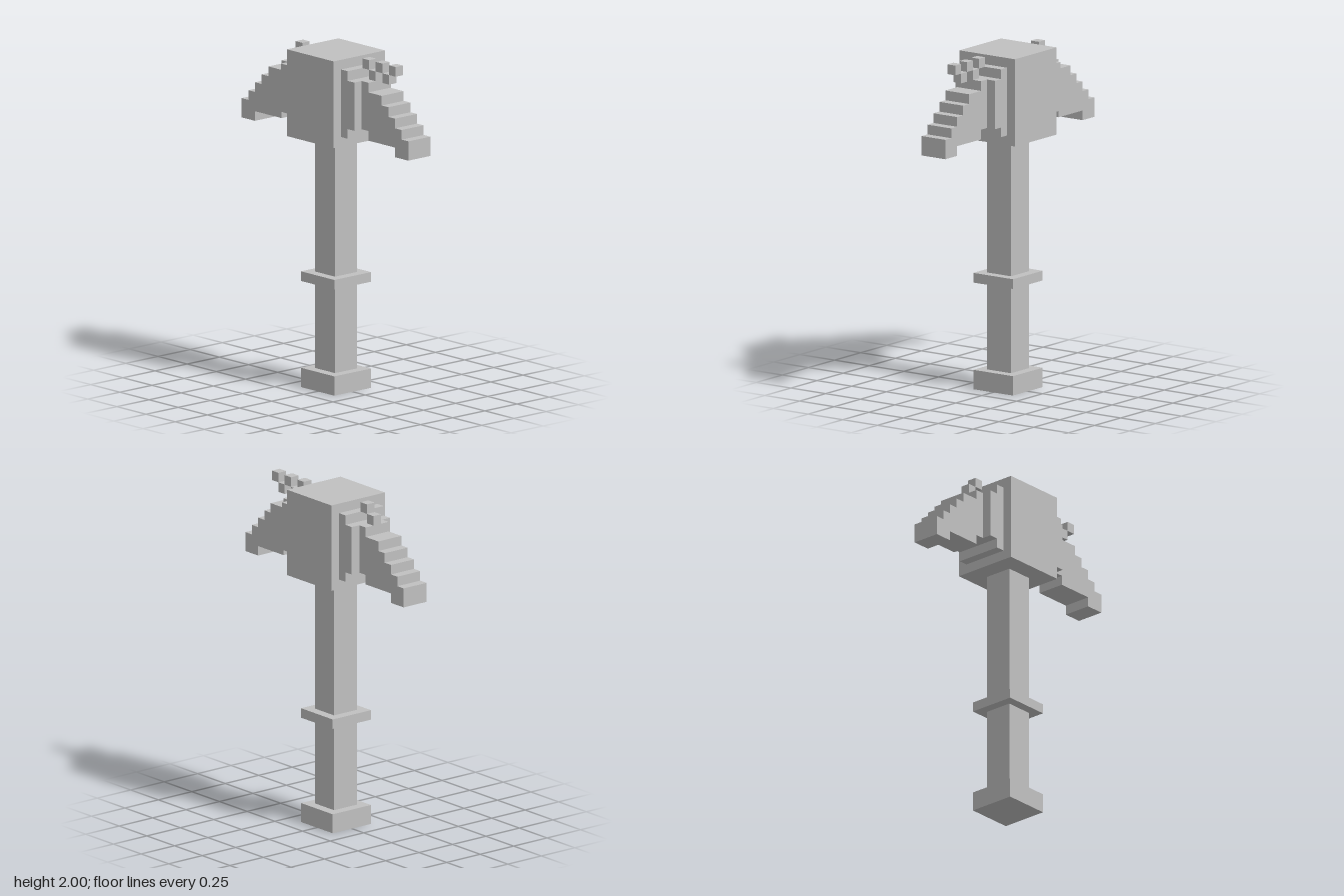
import * as THREE from 'three';

const U = 2 / 35; // one block of the grid

export function createModel() {
  const model = new THREE.Group();
  model.name = 'pickaxe';
  const grey = new THREE.MeshStandardMaterial({ color: 0xc0c0c0 });
  grey.name = 'plain grey';

  // Box centred on z = 0, given in blocks
  function block(name, parent, x0, x1, y0, y1, depth) {
    const mesh = new THREE.Mesh(
      new THREE.BoxGeometry((x1 - x0) * U, (y1 - y0) * U, depth * U), grey);
    mesh.position.set((x0 + x1) / 2 * U, (y0 + y1) / 2 * U, 0);
    mesh.name = name;
    parent.add(mesh);
  }

  // Shaft and head
  block('pommel', model, -2.5, 2.5, 0, 2, 5);
  block('lowerHandle', model, -1.5, 1.5, 2, 11, 3);
  block('handleRing', model, -2.5, 2.5, 11, 12, 5);
  block('upperHandle', model, -1.5, 1.5, 12, 26, 3);
  block('head', model, -3.5, 3.5, 26, 35, 7);

  // Stepped outline of one pick blade
  const outline = [
    [5.5, 28], [6.5, 28], [6.5, 27], [10.5, 27], [10.5, 26], [12.5, 26],
    [12.5, 28], [11.5, 28], [11.5, 29], [10.5, 29], [10.5, 30], [9.5, 30],
    [9.5, 31], [8.5, 31], [8.5, 32], [6.5, 32], [6.5, 33], [5.5, 33],
  ].map(([x, y]) => new THREE.Vector2(x * U, y * U));
  const bladeGeometry = new THREE.ExtrudeGeometry(new THREE.Shape(outline),
    { depth: 3 * U, bevelEnabled: false }).translate(0, 0, -1.5 * U);

  // Each side has two collars, a blade and a zigzag of small floating cubes
  for (const [side, cubes] of [['left', 5], ['right', 2]]) {
    const arm = new THREE.Group();
    arm.name = side + 'Arm';
    block('innerCollar', arm, 3.5, 4.5, 27, 34, 5);
    block('outerCollar', arm, 4.5, 5.5, 28, 33, 5);
    const blade = new THREE.Mesh(bladeGeometry, grey);
    blade.name = 'blade';
    arm.add(blade);
    for (let i = 0; i < cubes; i++) {
      const y = i % 2 ? 33 : 34;
      block('spark', arm, 4.5 + i, 5.5 + i, y, y + 1, 1);
    }
    if (side === 'right') arm.rotation.y = Math.PI;
    model.add(arm);
  }
  return model;
}
